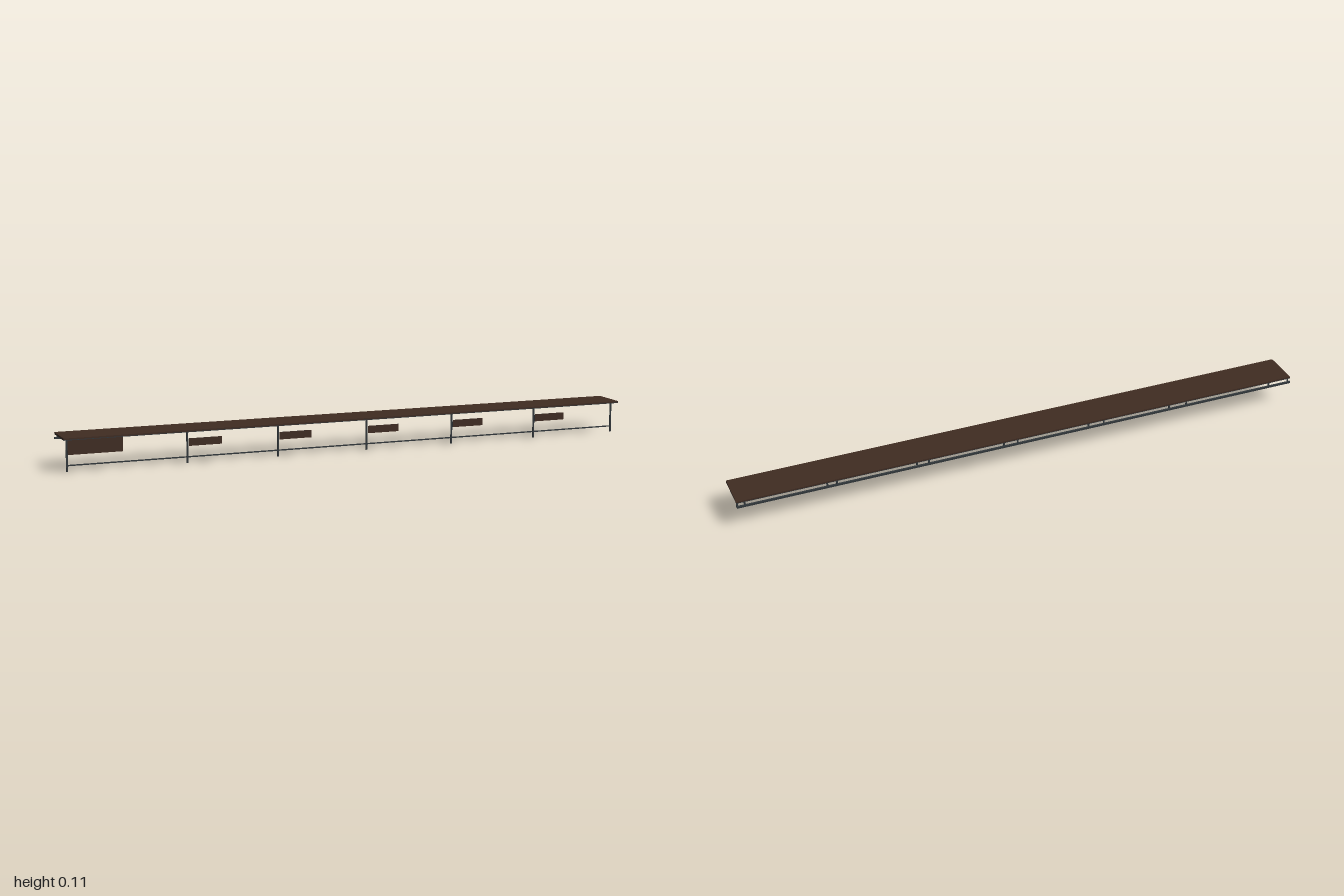
import * as THREE from 'three';

export function createModel() {
  const model = new THREE.Group();
  model.name = 'longCounter';
  const wood = new THREE.MeshStandardMaterial({ color: 0x402c22 });
  wood.name = 'dark wood';
  const metal = new THREE.MeshStandardMaterial({ color: 0x32383c });
  metal.name = 'charcoal metal';

  // Box given by its limits on each axis
  function box(name, material, [x0, x1], [y0, y1], [z0, z1], parent = model) {
    const mesh = new THREE.Mesh(new THREE.BoxGeometry(x1 - x0, y1 - y0, z1 - z0), material);
    mesh.position.set((x0 + x1) / 2, (y0 + y1) / 2, (z0 + z1) / 2);
    mesh.name = name;
    parent.add(mesh);
  }

  // Hanging panel: wooden face with a metal back plate
  function panel(name, xs, ys, z) {
    const group = new THREE.Group();
    group.name = name;
    box('panelFace', wood, xs, ys, [z, z + 0.001], group);
    box('panelBack', metal, xs, ys, [z - 0.001, z], group);
    model.add(group);
  }

  // Long top with a slim metal frame under its edges
  box('top', wood, [-1, 1], [0.104, 0.109], [-0.062, 0.067]);
  box('frontFrame', metal, [-1, 1], [0.102, 0.104], [0.063, 0.067]);
  box('backFrame', metal, [-1, 1], [0.102, 0.104], [-0.062, -0.058]);
  for (const s of [-1, 1]) {
    box('endFrame', metal, s < 0 ? [-1, -0.996] : [0.996, 1], [0.102, 0.104], [-0.058, 0.063]);
  }

  // Front legs, each with a hanger for the back rail
  const legs = [-0.99, -0.593, -0.281, 0.035, 0.35, 0.666, 0.973];
  legs.forEach((x, i) => {
    box('leg', metal, [x - 0.003, x + 0.003], [0, 0.104], [0.06, 0.063]);
    box('railHanger', metal, [x - 0.003, x + 0.003], [0.091, 0.104], [-0.0635, -0.062]);
    // Small panel beside each inner leg
    if (i > 0 && i < 6) panel('smallPanel', [x + 0.006, x + 0.118], [0.056, 0.081], 0.061);
  });

  // Low foot bar and back rail
  box('footBar', metal, [-0.99, 0.973], [0.0185, 0.0225], [0.06, 0.063]);
  box('backRail', metal, [-1, 1], [0.086, 0.092], [-0.067, -0.06]);

  // Large panel at one end
  panel('largePanel', [-0.985, -0.805], [0.053, 0.104], 0.055);

  return model;
}
